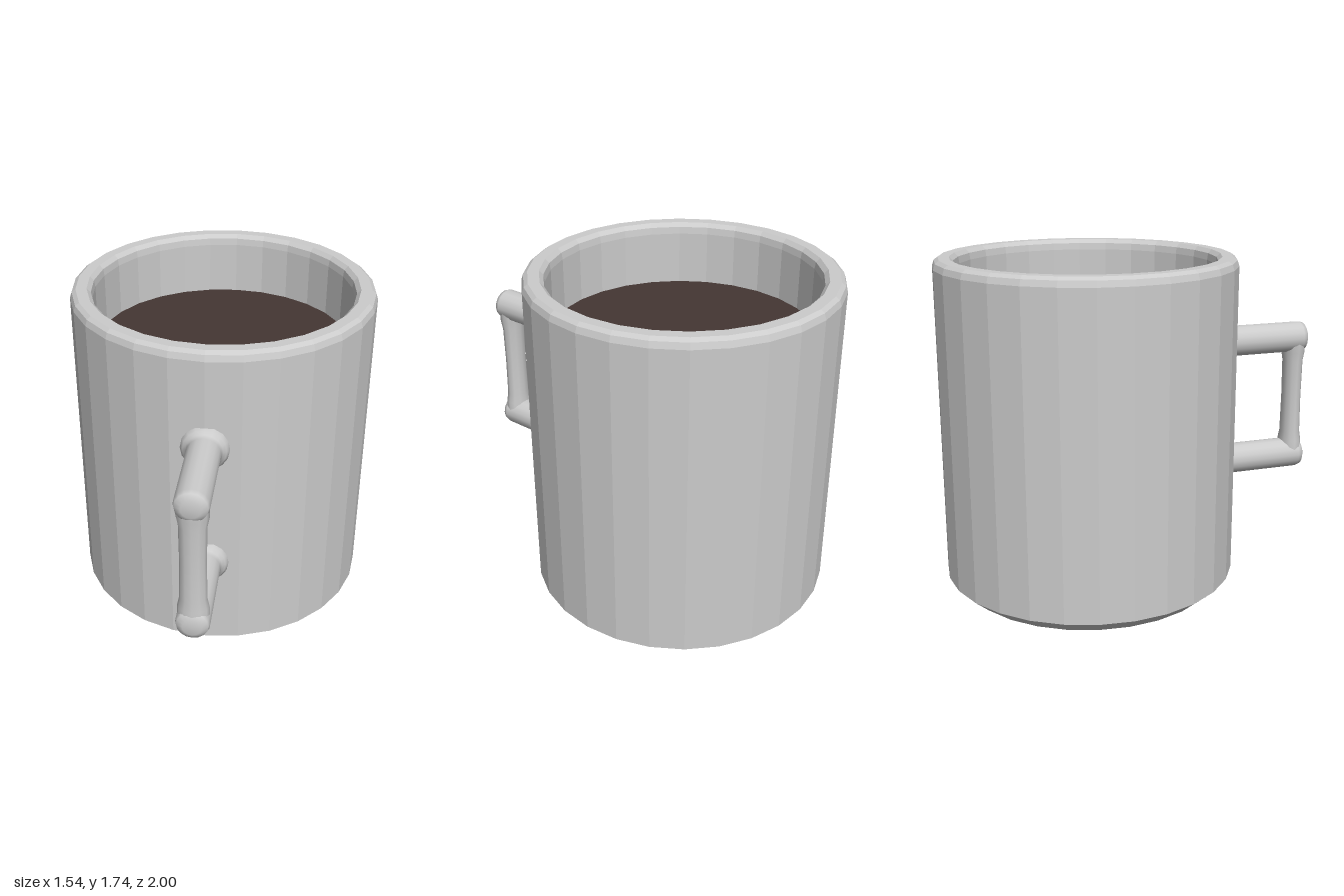
import * as THREE from 'three';

const SIDES = 28;
const POST_Y = [0.565, 1.235];

function lathe(points, sides) {
  return new THREE.LatheGeometry(points.map(([r, y]) => new THREE.Vector2(r, y)), sides);
}

function part(name, geometry, material, parent) {
  const mesh = new THREE.Mesh(geometry, material);
  mesh.name = name;
  parent.add(mesh);
  return mesh;
}

export function createModel() {
  const model = new THREE.Group();
  model.name = 'mug';
  const ceramic = new THREE.MeshStandardMaterial({ color: 0xcccccc, flatShading: true });
  const smooth = new THREE.MeshStandardMaterial({ color: 0xcccccc });
  const coffee = new THREE.MeshStandardMaterial({ color: 0x443633 });

  // The cup sits behind the centre and is turned so the handle points front-left
  const mug = new THREE.Group();
  mug.name = 'cupAndHandle';
  mug.position.z = -0.23;
  mug.rotation.y = THREE.MathUtils.degToRad(14.2);
  model.add(mug);

  // Hollow cup: chamfered foot, straight wall, bevelled rim, inner wall and floor
  part('cup', lathe([
    [0, 0], [0.69, 0], [0.77, 0.07], [0.77, 1.69], [0.76, 1.72], [0.74, 1.735],
    [0.685, 1.735], [0.665, 1.715], [0.66, 1.68], [0.66, 0.14], [0, 0.14],
  ], SIDES), ceramic, mug);

  // Drink surface
  const drink = part('drink', new THREE.CircleGeometry(0.66, SIDES), coffee, mug);
  drink.geometry.rotateX(-Math.PI / 2);
  drink.geometry.rotateY(Math.PI / 2);
  drink.position.y = 1.41;

  // Handle: two radial posts with flared roots and bevelled ends
  const handle = new THREE.Group();
  handle.name = 'handle';
  mug.add(handle);
  const post = lathe([
    [0.118, 0.72], [0.118, 0.765], [0.105, 0.778], [0.09, 0.79], [0.083, 0.81],
    [0.083, 1.215], [0.076, 1.238], [0.045, 1.255], [0, 1.255],
  ], 16).rotateX(Math.PI / 2);
  POST_Y.forEach((y, i) => {
    part(i ? 'upperPost' : 'lowerPost', post, smooth, handle).position.y = y;
  });

  // Upright grip, widening slightly where it meets the posts
  const [low, high] = POST_Y;
  const grip = part('grip', lathe([
    [0.078, low], [0.076, low + 0.08], [0.066, low + 0.13], [0.063, (low + high) / 2],
    [0.066, high - 0.13], [0.076, high - 0.08], [0.078, high],
  ], 12), smooth, handle);
  grip.scale.z = 0.8;
  grip.position.z = 1.188;

  return model;
}
